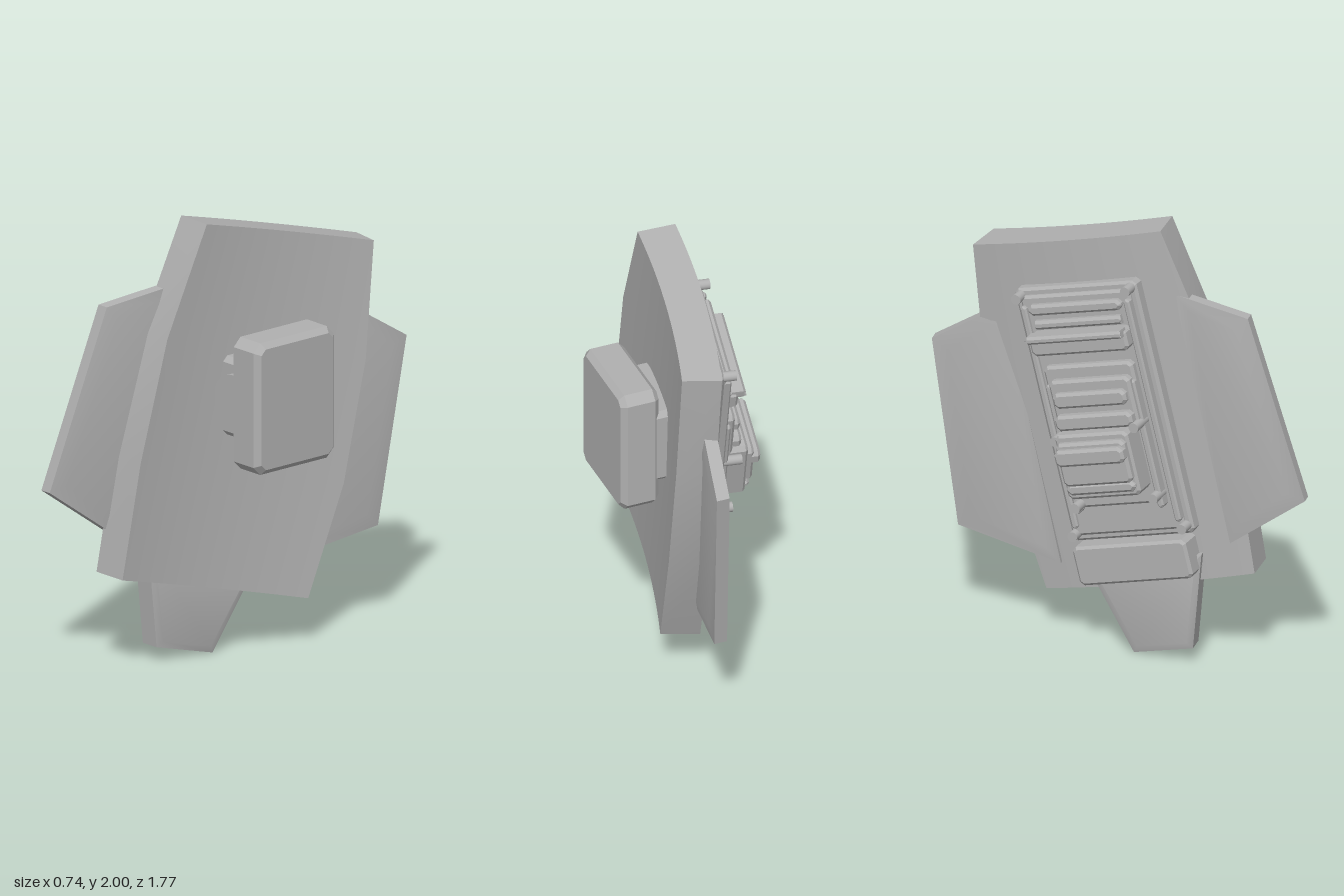
import * as THREE from 'three';
import { toCreasedNormals } from 'three/addons/utils/BufferGeometryUtils.js';

const grey = new THREE.MeshStandardMaterial({ color: 0xb0b0b0 });
grey.name = 'plain grey';

function add(parent, name, geo) {
  const mesh = new THREE.Mesh(geo, grey);
  mesh.name = name;
  parent.add(mesh);
  return mesh;
}

// Box with chamfered edges and corners; thickness runs along z
function chamferBox(w, h, d, c, bevel = c) {
  const a = w / 2 - bevel, b = h / 2 - bevel;
  const s = new THREE.Shape([
    [a - c, -b], [a, -b + c], [a, b - c], [a - c, b],
    [-a + c, b], [-a, b - c], [-a, -b + c], [-a + c, -b],
  ].map(([x, y]) => new THREE.Vector2(x, y)));
  const g = new THREE.ExtrudeGeometry(s, {
    depth: d - 2 * bevel, bevelEnabled: true, bevelSegments: 1, bevelSize: bevel, bevelThickness: bevel,
  });
  return g.translate(0, 0, bevel - d / 2);
}

// Slab outlined in (z, y), outer face placed by faceX(z, y), with a softly sloped rim
function slab(outline, thick, faceX, rim = 0.07) {
  const t = 0.01;
  const s = new THREE.Shape(outline.map(([z, y]) => new THREE.Vector2(-z, y)));
  const g = new THREE.ExtrudeGeometry(s, {
    depth: thick - 2 * t, bevelEnabled: true, bevelSegments: 1, bevelSize: rim, bevelOffset: -rim, bevelThickness: t,
  });
  g.translate(0, 0, t - thick).rotateY(Math.PI / 2);
  const p = g.attributes.position;
  for (let i = 0; i < p.count; i++) p.setX(i, p.getX(i) + faceX(p.getZ(i), p.getY(i)));
  return toCreasedNormals(g, 0.5);
}

// Bowed main plate, lofted through four rows of a curved cross-section
function plateGeometry() {
  const rows = [[0.803, -0.42, 0.451], [0.28, -0.499, 0.537], [-0.28, -0.52, 0.538], [-0.803, -0.47, 0.498]];
  const N = 20, M = 2 * (N + 1), thick = 0.175;
  const pos = [], idx = [];
  for (const [v, u0, u1] of rows) {
    for (let k = 0; k < M; k++) {
      const inner = k > N, i = inner ? M - 1 - k : k;
      let u = u0 + (u1 - u0) * i / N;
      let x = 0.098 + 0.035 * v - 0.168 * u + 0.148 * u * u;
      if (inner) {
        const slope = 0.168 - 0.296 * u, l = Math.hypot(1, slope);
        x -= thick / l;
        u -= thick * slope / l;
      }
      pos.push(x, 1.11 + 0.245 * u + 0.97 * v, -0.04 + 0.97 * u - 0.245 * v);
    }
  }
  for (let j = 0; j < rows.length - 1; j++) {
    for (let k = 0; k < M; k++) {
      const n = (k + 1) % M;
      const a = j * M + k, b = j * M + n, c = b + M, d = a + M;
      idx.push(a, b, c, a, c, d);
    }
  }
  // top and bottom edges
  const last = (rows.length - 1) * M;
  for (let i = 0; i < N; i++) {
    const a = i, b = i + 1, c = M - 2 - i, d = M - 1 - i;
    idx.push(a, c, b, a, d, c);
    idx.push(last + a, last + b, last + c, last + a, last + c, last + d);
  }
  const g = new THREE.BufferGeometry();
  g.setAttribute('position', new THREE.Float32BufferAttribute(pos, 3));
  g.setIndex(idx);
  return toCreasedNormals(g, 0.5);
}

export function createModel() {
  const model = new THREE.Group();
  model.name = 'armourPlate';
  add(model, 'mainPlate', plateGeometry());

  // side wings and lower flap
  add(model, 'frontWing', slab([[0.26, 1.71], [0.61, 1.66], [0.885, 0.855], [0.53, 0.59]], 0.075,
    (z, y) => -0.013 - 0.19 * z + 0.015 * y));
  add(model, 'backWing', slab([[-0.55, 1.51], [-0.89, 1.29], [-0.76, 0.44], [-0.27, 0.35]], 0.08,
    (z, y) => 0.165 - 0.19 * (z + 0.87) + 0.02 * (y - 1.2)));
  add(model, 'lowerFlap', slab([[0.40, 0.52], [0.36, 0.07], [0.08, 0], [-0.15, 0.38]], 0.11,
    (z) => 0.005 - 0.18 * z, 0.03));

  // mounting pad on the hollow side
  const pad = add(model, 'mountPad', chamferBox(0.465, 0.6, 0.18, 0.025));
  pad.rotation.y = Math.PI / 2;
  pad.position.set(0.273, 1.2, -0.075);
  const bracket = add(model, 'mountBracket', chamferBox(0.41, 0.36, 0.16, 0.015));
  bracket.rotation.y = Math.PI / 2;
  bracket.position.set(0.15, 1.2, -0.095);
  const pivot = add(model, 'mountPivot', new THREE.CylinderGeometry(0.125, 0.125, 0.42, 32));
  pivot.rotation.x = Math.PI / 2;
  pivot.position.set(0.19, 1.2, -0.065);

  // equipment on the bulging side: local x across, y along, z away from the plate
  const gear = new THREE.Group();
  gear.name = 'equipmentPanel';
  const X = new THREE.Vector3(-0.168, 0.245, 0.97).normalize();
  const Y = new THREE.Vector3(0.035, 0.97, -0.245);
  Y.addScaledVector(X, -X.dot(Y)).normalize();
  const Z = new THREE.Vector3().crossVectors(X, Y);
  gear.quaternion.setFromRotationMatrix(new THREE.Matrix4().makeBasis(X, Y, Z));
  gear.position.set(-0.077, 1.11, -0.04);
  model.add(gear);

  // blocks: name, centre x, centre y, width, height, bottom, top
  const blocks = [
    ['panelBase', 0, 0.02, 0.60, 1.18, -0.04, 0.045],
    ['panelStep', 0, 0.02, 0.54, 1.12, 0.02, 0.065],
    ['topRidge', 0, 0.52, 0.46, 0.05, 0.05, 0.095],
    ['secondRidge', 0, 0.45, 0.46, 0.04, 0.05, 0.095],
    ['topBarBody', 0, 0.37, 0.48, 0.1, 0.05, 0.13],
    ['topBarLip', 0, 0.405, 0.5, 0.035, 0.09, 0.165],
    ['coreBase', 0, -0.07, 0.44, 0.66, 0.05, 0.1],
    ['coreUpper', 0.01, 0.08, 0.40, 0.25, 0.09, 0.14],
    ['coreUpperRidge', 0.01, 0.12, 0.36, 0.07, 0.12, 0.17],
    ['coreLowerRidge', 0.01, 0.02, 0.38, 0.07, 0.12, 0.18],
    ['coreBlock', 0, -0.17, 0.36, 0.3, 0.09, 0.215],
    ['coreBlockCap', 0, -0.15, 0.34, 0.2, 0.18, 0.245],
    ['coreBlockRib', 0, -0.11, 0.34, 0.075, 0.2, 0.275],
    ['coreBlockFoot', 0, -0.27, 0.34, 0.05, 0.18, 0.235],
    ['lowerBox', -0.01, -0.67, 0.56, 0.18, -0.05, 0.1],
  ];
  for (const [name, x, y, w, h, z0, z1] of blocks) {
    add(gear, name, chamferBox(w, h, z1 - z0, 0.012)).position.set(x, y, (z0 + z1) / 2);
  }

  // long rails down both edges
  for (const s of [-1, 1]) {
    for (const [x, len, z1] of [[0.255, 1.04, 0.085], [0.205, 0.6, 0.115]]) {
      const y = len > 1 ? 0.02 : -0.12;
      add(gear, 'rail', chamferBox(0.03, len, z1 - 0.03, 0.007)).position.set(s * x, y, (z1 + 0.03) / 2);
    }
  }

  // round pegs
  const pegs = [[-0.27, 0.58, 0.1], [0.27, 0.58, 0.1], [-0.27, -0.53, 0.1], [0.27, -0.53, 0.1],
    [0.2, -0.02, 0.18], [-0.2, -0.06, 0.18], [-0.19, -0.38, 0.16], [0.2, -0.36, 0.16]];
  for (const [x, y, top] of pegs) {
    const peg = add(gear, 'peg', new THREE.CylinderGeometry(0.023, 0.023, 0.12, 16));
    peg.rotation.x = Math.PI / 2;
    peg.position.set(x, y, top - 0.06);
  }
  return model;
}
